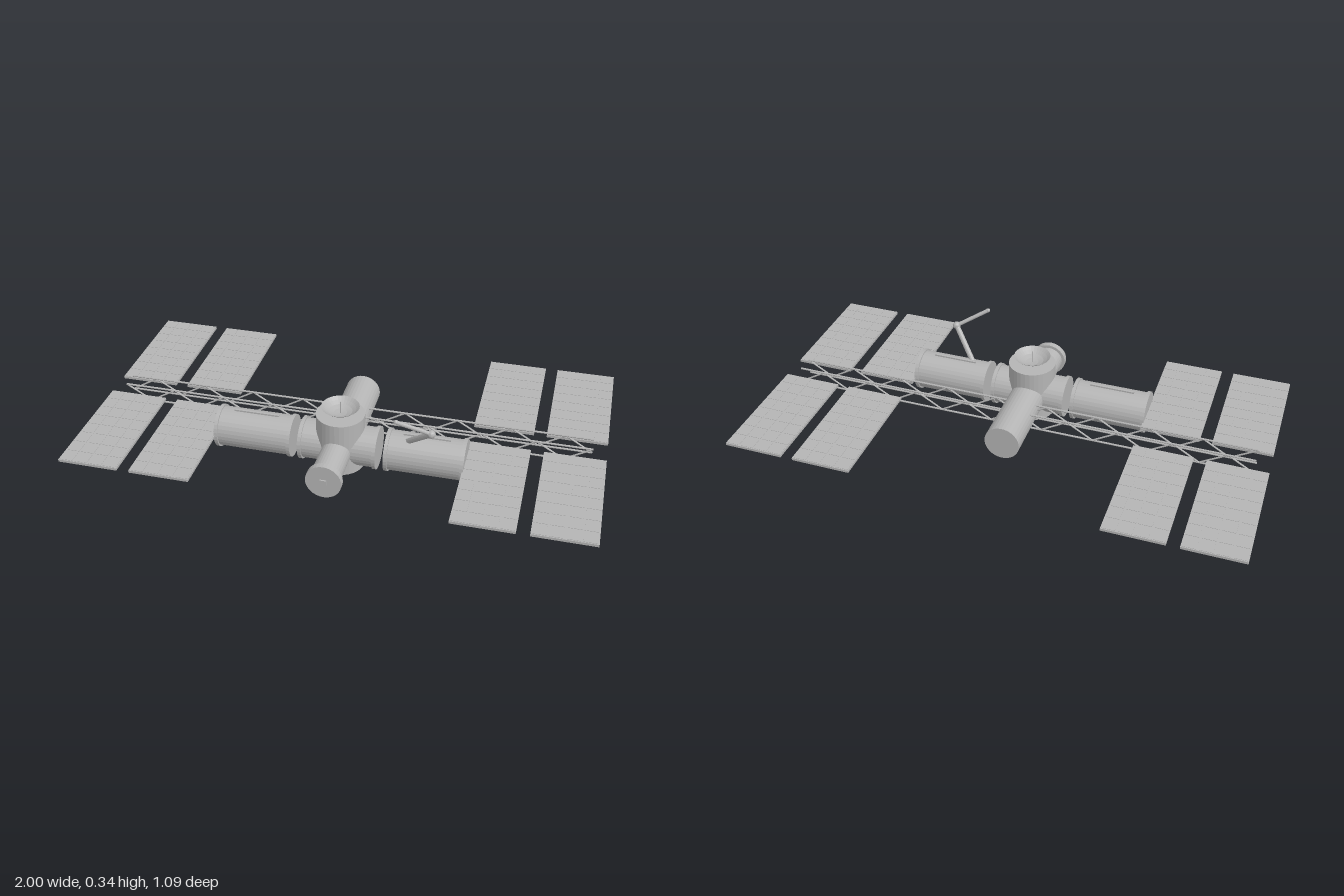
import * as THREE from 'three';

export function createModel() {
  const root = new THREE.Group();
  root.name = 'spaceStation';
  const grey = new THREE.MeshStandardMaterial({ color: 0xb4b4b4, side: THREE.DoubleSide, flatShading: true });
  grey.name = 'stationGrey';
  const Y = 0.088, Z = 0.174; // hub axis heights

  const add = (name, geometry, parent = root) => {
    const mesh = new THREE.Mesh(geometry, grey);
    mesh.name = name;
    parent.add(mesh);
    return mesh;
  };
  // cylinder between two points
  const rod = (name, a, b, r, sides = 24, parent = root) => {
    const p = new THREE.Vector3(...a), q = new THREE.Vector3(...b);
    const dir = q.clone().sub(p);
    const mesh = add(name, new THREE.CylinderGeometry(r, r, dir.length(), sides), parent);
    mesh.position.copy(p).add(q).multiplyScalar(0.5);
    mesh.quaternion.setFromUnitVectors(new THREE.Vector3(0, 1, 0), dir.normalize());
    return mesh;
  };
  const box = (name, w, h, d, x, y, z, parent = root) => {
    const mesh = add(name, new THREE.BoxGeometry(w, h, d), parent);
    mesh.position.set(x, y, z);
    return mesh;
  };

  // Central hub with sideways ports, and the two long lab modules
  rod('hub', [0, 0, Z], [0, 0.223, Z], 0.094, 32);
  const lateralModule = (name, x0, x1) => {
    const g = new THREE.Group();
    g.name = name;
    root.add(g);
    rod('hull', [x0, Y, Z], [x1, Y, Z], 0.078, 32, g);
    for (const x of [x0, x1 - 0.014]) rod('endRing', [x, Y, Z], [x + 0.014, Y, Z], 0.084, 32, g);
    return g;
  };
  lateralModule('hubPorts', -0.152, 0.152);
  for (const s of [-1, 1]) {
    const c = s * 0.335;
    const g = lateralModule('labModule', c - 0.152, c + 0.152);
    box('handrail', 0.18, 0.008, 0.008, c, Y + 0.08, Z, g);
  }

  // Rear module and front docking module
  rod('rearModule', [0, Y, 0.16], [0, Y, -0.202], 0.07, 32);
  rod('dockingTunnel', [0, Y, 0.2], [0, Y, 0.42], 0.057, 32);
  rod('dockingRing', [0, Y, 0.408], [0, Y, 0.433], 0.069, 32);
  box('hatchHandle', 0.025, 0.022, 0.006, 0, Y, 0.436);

  // Dish antenna on the hub
  const bowl = [[0, 0.224], [0.025, 0.227], [0.045, 0.234], [0.06, 0.244], [0.073, 0.255]];
  add('dish', new THREE.LatheGeometry(bowl.map(p => new THREE.Vector2(...p)), 32)).position.z = Z;
  rod('dishFeed', [0, 0.222, Z], [0, 0.275, Z], 0.002, 8);

  // Jointed robot arm
  const elbow = [0.367, 0.261, 0.28], tip = [0.245, 0.328, 0.331];
  rod('upperArm', [0.267, 0.155, 0.197], elbow, 0.011, 12);
  rod('forearm', elbow, tip, 0.008, 12);
  add('elbowJoint', new THREE.SphereGeometry(0.016, 16, 10)).position.set(...elbow);
  add('armTip', new THREE.SphereGeometry(0.009, 10, 8)).position.set(...tip);

  // Twin lattice girders, diagonals in opposite phase
  const half = 0.945, bays = 18, step = 2 * half / bays, low = 0.057, high = 0.119;
  [-0.033, 0.033].forEach((z, side) => {
    const g = new THREE.Group();
    g.name = 'truss';
    root.add(g);
    for (const y of [low, high]) rod('chord', [-half, y, z], [half, y, z], 0.004, 6, g);
    for (let i = 0; i < bays; i++) {
      const x = -half + i * step, up = (i + side) % 2 === 0;
      rod('diagonal', [x, up ? low : high, z], [x + step, up ? high : low, z], 0.0035, 6, g);
    }
  });

  // Solar panels with raised cells
  const W = 0.234, D = 0.489, cols = 4, rows = 8;
  for (const sx of [-1, 1]) for (const sz of [-1, 1]) for (const x of [0.6, 0.883]) {
    const g = new THREE.Group();
    g.name = 'solarPanel';
    g.position.set(sx * x, 0.0885, sz * 0.3005);
    root.add(g);
    box('panelBase', W, 0.01, D, 0, 0, 0, g);
    const cw = W / cols, cd = D / rows;
    for (let i = 0; i < cols; i++) for (let j = 0; j < rows; j++) {
      box('solarCell', cw - 0.008, 0.002, cd - 0.008,
        (i + 0.5) * cw - W / 2, 0.0055, (j + 0.5) * cd - D / 2, g);
    }
  }
  return root;
}
